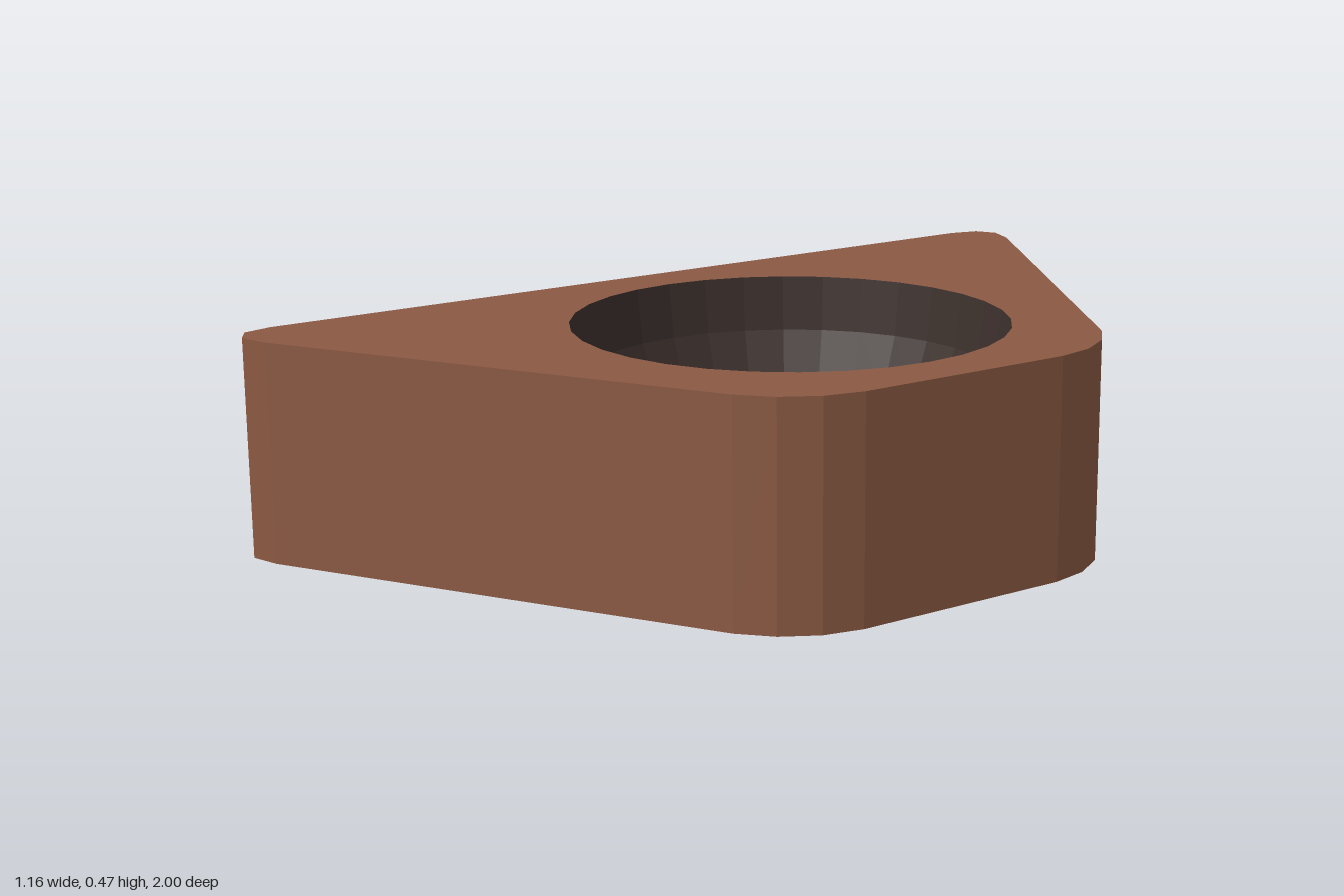
import * as THREE from 'three';

const HEIGHT = 0.468;
const RADIUS = 0.463;
const SEGMENTS = 32;

// One half of the outline; the other half is its mirror image
const half = [
  [-0.578, -0.91], [-0.562, -0.975], [-0.518, -1], [-0.453, -0.98],
  [0.453, -0.462], [0.516, -0.405], [0.56, -0.33], [0.578, -0.245],
];
const outline = [...half, ...half.map(([x, y]) => [x, -y]).reverse()]
  .map(([x, y]) => new THREE.Vector2(x, y));

// Upright walls, one quad for each side of the outline
function wallGeometry() {
  const positions = [];
  outline.forEach((a, i) => {
    const b = outline[(i + 1) % outline.length];
    const a0 = [a.x, 0, -a.y], b0 = [b.x, 0, -b.y];
    const a1 = [a.x, HEIGHT, -a.y], b1 = [b.x, HEIGHT, -b.y];
    positions.push(...a0, ...b0, ...b1, ...a0, ...b1, ...a1);
  });
  const geometry = new THREE.BufferGeometry();
  geometry.setAttribute('position', new THREE.Float32BufferAttribute(positions, 3));
  geometry.computeVertexNormals();
  return geometry;
}

export function createModel() {
  const model = new THREE.Group();
  model.name = 'candleHolder';
  const wood = new THREE.MeshStandardMaterial({ color: 0x8b5a43, flatShading: true });
  const dark = new THREE.MeshStandardMaterial({ color: 0x3c302c, flatShading: true });

  const add = (name, geometry, material) => {
    const mesh = new THREE.Mesh(geometry, material);
    mesh.name = name;
    model.add(mesh);
    return mesh;
  };

  add('walls', wallGeometry(), wood);

  // Top face with a round opening that meets the bowl's rim
  const topShape = new THREE.Shape(outline);
  const rim = Array.from({ length: SEGMENTS }, (_, i) => {
    const t = (i / SEGMENTS) * Math.PI * 2;
    return new THREE.Vector2(RADIUS * Math.cos(t), RADIUS * Math.sin(t));
  });
  topShape.holes.push(new THREE.Path(rim));
  add('topFace', new THREE.ShapeGeometry(topShape).rotateX(-Math.PI / 2), wood)
    .position.y = HEIGHT;

  // Closed underside
  add('underside', new THREE.ShapeGeometry(new THREE.Shape(outline)).rotateX(Math.PI / 2), wood);

  // Hollow half sphere, mirrored so that its faces point inward
  const bowl = new THREE.SphereGeometry(RADIUS, SEGMENTS, 6, 0, Math.PI * 2, Math.PI / 2, Math.PI / 2)
    .scale(1, 1, -1).toNonIndexed();
  bowl.computeVertexNormals();
  add('bowl', bowl, dark).position.y = HEIGHT;

  return model;
}
